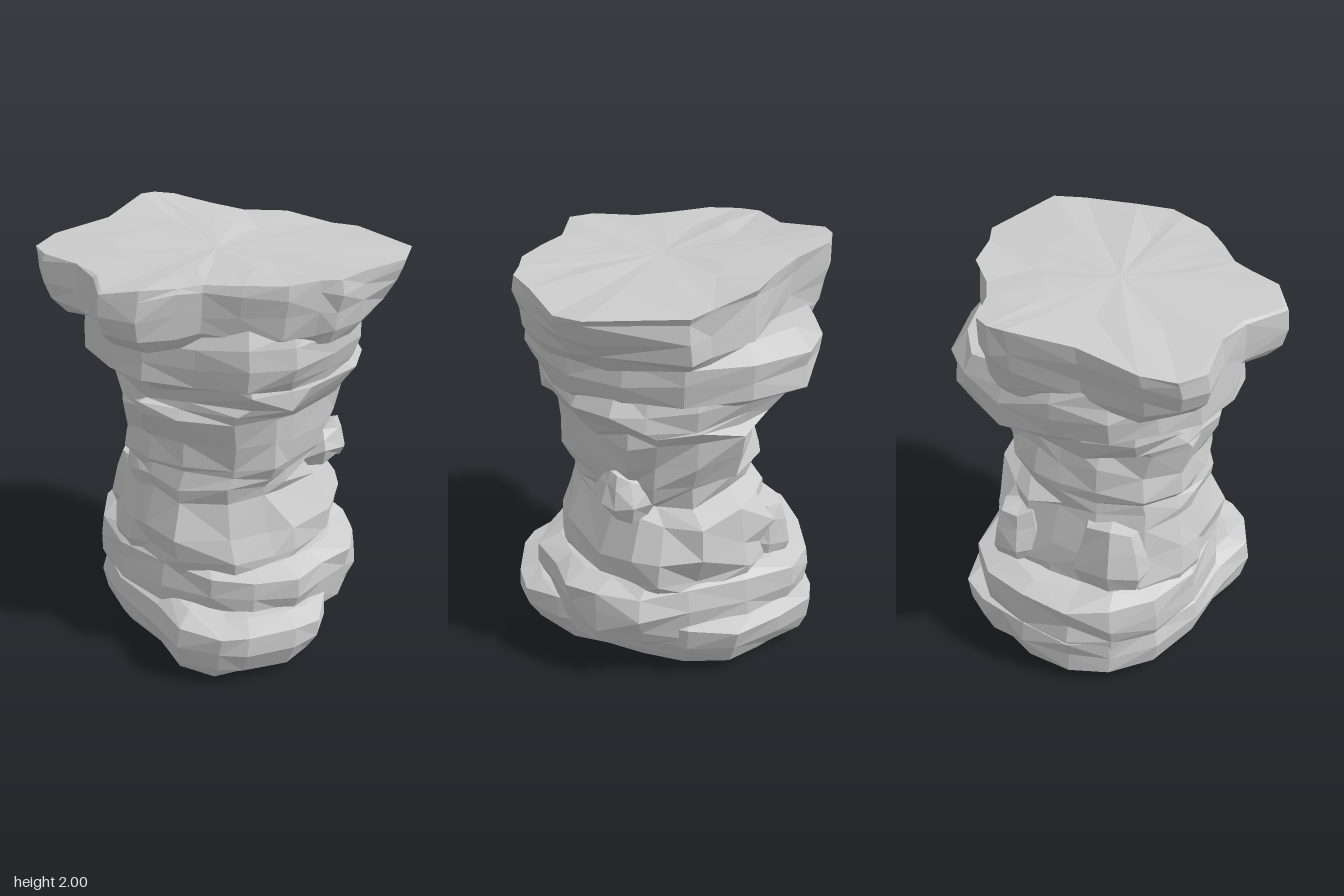
import * as THREE from 'three';

// Plan outlines as x, z pairs, running from +x round through +z
const CAP = [.71, -.02, .66, .06, .6, .2, .46, .33, .33, .43, .28, .53, .2, .68, .05, .75, -.13, .62, -.3, .59,
  -.52, .59, -.66, .53, -.7, .38, -.65, .08, -.72, -.2, -.71, -.28, -.65, -.36, -.45, -.42, -.3, -.5, -.14, -.64,
  .1, -.7, .22, -.75, .63, -.62, .7, -.48, .7, -.2];
const LEDGE = [.61, -.1, .61, .15, .5, .33, .3, .45, .1, .58, -.1, .6, -.35, .52, -.5, .38, -.62, .2, -.66, -.05,
  -.64, -.3, -.55, -.5, -.4, -.64, -.1, -.71, .2, -.66, .42, -.52, .58, -.32];
const UPPER = [.63, -.1, .62, .1, .52, .28, .35, .4, .1, .47, -.2, .47, -.45, .36, -.62, .2, -.68, 0, -.66, -.25,
  -.56, -.47, -.4, -.6, -.15, -.64, .15, -.62, .38, -.57, .54, -.43, .62, -.28];
const BASE = [.71, .05, .7, .2, .6, .42, .52, .52, .33, .61, .1, .54, -.2, .5, -.45, .38, -.62, .2, -.68, 0,
  -.66, -.25, -.6, -.4, -.58, -.52, -.5, -.65, -.3, -.69, -.05, -.73, .16, -.64, .33, -.46, .48, -.27, .63, -.12];
const ROUND = [];
for (let i = 0; i < 17; i++) {
  const a = (i / 17) * Math.PI * 2 + .12 * Math.sin(i * 5), c = Math.cos(a), s = Math.sin(a);
  const r = Math.pow(Math.abs(c) ** 2.35 + Math.abs(s) ** 2.35, -1 / 2.35);
  ROUND.push(c * r, s * r);
}
const BLOCK = [1, -.3, .9, .6, .3, 1, -.6, .9, -1, .2, -.8, -.8, .1, -1, .8, -.8];

function seeded(seed) {
  let s = seed * 7919;
  return () => {
    s = (s * 16807) % 2147483647;
    return (s / 2147483647) * 2 - 1;
  };
}

const material = new THREE.MeshStandardMaterial({ color: 0xcccccc, flatShading: true });

// Stacks an outline through rings of [y, xMin, xMax, zMin, zMax, maxRadius], with chipped corners.
// topY(x, z), if given, sets the height of the last `topRings` rings.
function rockLoft(name, outline, rings, seed, rough, wave, topRings = 0, topY = null) {
  const n = outline.length / 2, rand = seeded(seed), pos = [], index = [];
  const xs = outline.filter((_, i) => i % 2 === 0), zs = outline.filter((_, i) => i % 2 === 1);
  const ext = [Math.min(...xs), Math.max(...xs), Math.min(...zs), Math.max(...zs)];
  rings.forEach(([y, x0, x1, z0, z1, maxR = 2], k) => {
    const flat = k >= rings.length - topRings;
    const edge = k > 0 && !flat;
    for (let j = 0; j < n; j++) {
      const u = xs[j], v = zs[j];
      let x = (u / ext[u < 0 ? 0 : 1]) * (u < 0 ? x0 : x1);
      let z = (v / ext[v < 0 ? 2 : 3]) * (v < 0 ? z0 : z1);
      const r = Math.hypot(x, z);
      const chip = Math.min(1, maxR / (r + 1e-6)) * (edge ? 1 - rough * (0.4 + 0.6 * rand()) : 1);
      x *= chip;
      z *= chip;
      const dy = edge && r > 0 ? wave * (Math.sin(2 * Math.atan2(v, u) + seed) * 0.5 + rand() * 0.7) : 0;
      pos.push(x, flat ? topY(x, z) + rand() * 0.02 * r : y + dy, z);
    }
  });
  for (let k = 0; k < rings.length - 1; k++) {
    for (let j = 0; j < n; j++) {
      const a = k * n + j, b = k * n + ((j + 1) % n), c = a + n, d = b + n;
      if (rand() > 0) index.push(a, c, b, b, c, d);
      else index.push(a, c, d, a, d, b);
    }
  }
  const g = new THREE.BufferGeometry();
  g.setAttribute('position', new THREE.Float32BufferAttribute(pos, 3));
  g.setIndex(index);
  g.computeVertexNormals();
  const mesh = new THREE.Mesh(g, material);
  mesh.name = name;
  return mesh;
}

export function createModel() {
  const group = new THREE.Group();
  group.name = 'rockPillar';

  // Broad foot slab and the block stepped back above it
  group.add(rockLoft('baseSlab', BASE, [
    [.005, 0, 0, 0, 0],
    [.02, -.6, .6, -.6, .55],
    [.07, -.67, .66, -.66, .58],
    [.18, -.69, .72, -.72, .62],
    [.28, -.69, .72, -.74, .6],
    [.31, -.62, .64, -.62, .5],
    [.34, 0, 0, 0, 0],
  ], 11, .04, .02));
  group.add(rockLoft('upperBase', UPPER, [
    [.12, -.5, .48, -.5, .4],
    [.2, -.66, .6, -.63, .47],
    [.28, -.68, .63, -.66, .49],
    [.38, -.69, .65, -.67, .49],
    [.48, -.69, .64, -.65, .47],
    [.52, -.57, .53, -.58, .42],
    [.54, 0, 0, 0, 0],
  ], 23, .05, .02));

  // Irregular shaft, narrow at the waist
  group.add(rockLoft('shaft', ROUND, [
    [.45, -.5, .5, -.6, .46],
    [.53, -.53, .53, -.65, .49],
    [.66, -.48, .51, -.65, .51],
    [.83, -.42, .45, -.62, .46],
    [.89, -.4, .44, -.51, .46],
    [.95, -.4, .47, -.52, .43],
    [1.0, -.42, .49, -.55, .45],
    [1.12, -.41, .5, -.58, .45],
    [1.24, -.37, .51, -.62, .49],
    [1.29, -.42, .53, -.64, .49],
    [1.33, -.53, .61, -.62, .45],
    [1.42, -.61, .63, -.65, .48],
    [1.54, -.58, .58, -.62, .48],
  ], 37, .1, .035));

  // Ledge under the cap
  group.add(rockLoft('ledge', LEDGE, [
    [1.42, 0, 0, 0, 0],
    [1.42, -.58, .59, -.62, .5],
    [1.47, -.65, .62, -.71, .61],
    [1.56, -.67, .63, -.72, .61],
    [1.64, -.66, .62, -.72, .6],
    [1.72, -.62, .6, -.68, .56],
    [1.74, 0, 0, 0, 0],
  ], 53, .05, .025));

  // Overhanging cap, cut back at its lower corners, with a nearly level top
  const topY = (x, z) => 1.92 + Math.max(0, -.11 * x * (1 - Math.abs(z + .28) * 1.5)) - .015 * Math.max(0, z);
  group.add(rockLoft('capSlab', CAP, [
    [1.64, 0, 0, 0, 0],
    [1.64, -.64, .65, -.72, .68, .7],
    [1.7, -.68, .69, -.76, .75, .78],
    [1.79, -.7, .71, -.75, .76, .83],
    [1.88, -.72, .72, -.75, .75, .87],
    [1.92, -.72, .71, -.755, .73],
    [1.92, -.42, .4, -.44, .4],
    [1.92, 0, 0, 0, 0],
  ], 67, .025, .025, 3, topY));

  // Broken lumps set into the shaft: name, x, y, z and half sizes
  const lumps = [
    ['sideLump', .35, .96, -.35, .13, .1, .14],
    ['frontRightLump', -.36, .66, .12, .19, .19, .2],
    ['backRightLump', -.34, .62, -.38, .15, .16, .15],
  ];
  lumps.forEach(([name, x, y, z, sx, sy, sz], i) => {
    const lump = rockLoft(name, BLOCK, [
      [-sy, 0, 0, 0, 0],
      [-sy, -sx * .8, sx * .8, -sz * .8, sz * .8],
      [-sy * .3, -sx, sx, -sz, sz],
      [sy * .4, -sx * .85, sx * .85, -sz * .85, sz * .85],
      [sy * .9, -sx * .65, sx * .65, -sz * .65, sz * .65],
      [sy, 0, 0, 0, 0],
    ], 71 + i, .12, .03);
    lump.position.set(x, y, z);
    group.add(lump);
  });
  return group;
}
